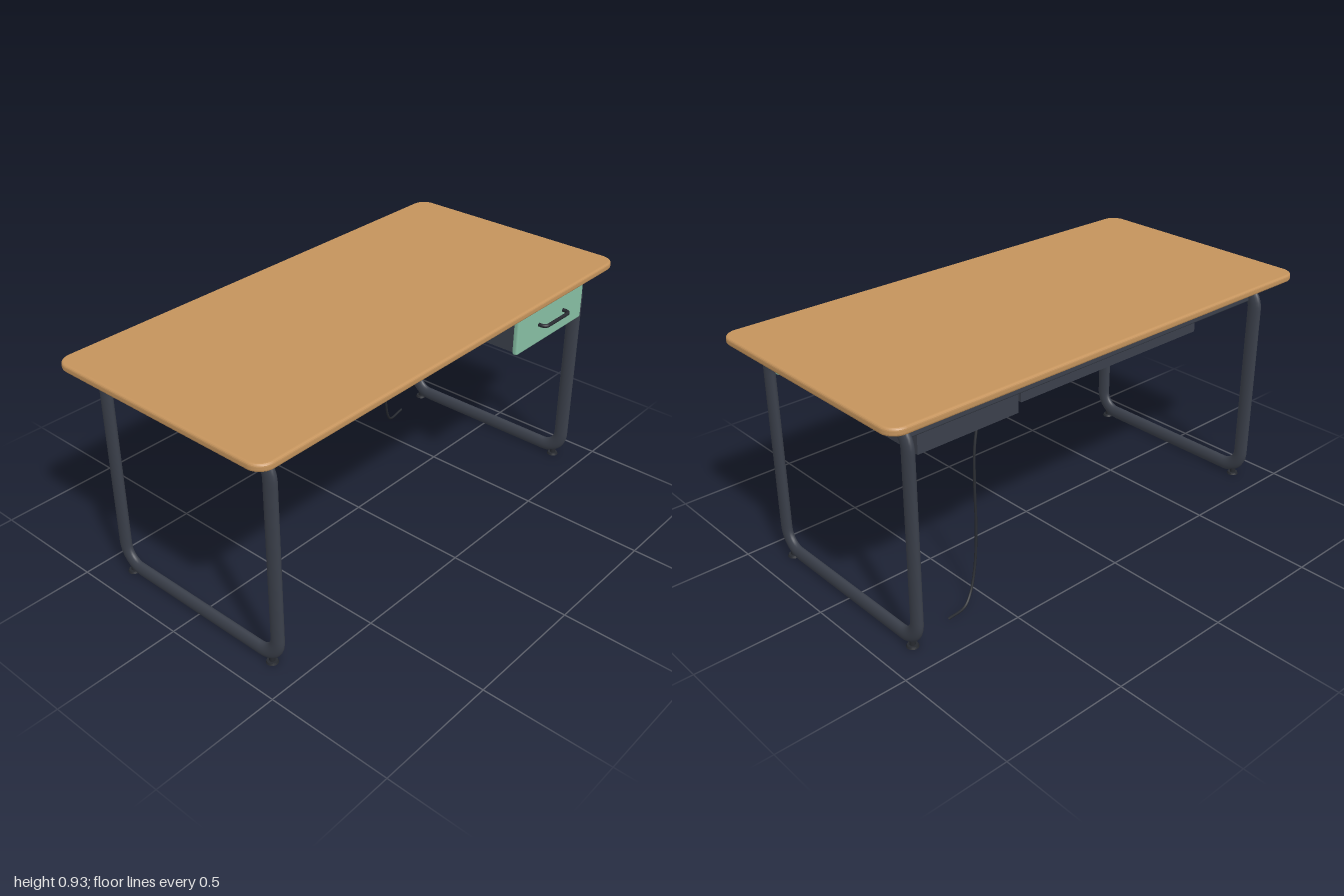
import * as THREE from 'three';
import { RoundedBoxGeometry } from 'three/addons/geometries/RoundedBoxGeometry.js';

const material = (name, color) => {
  const m = new THREE.MeshStandardMaterial({ color });
  m.name = name;
  return m;
};
const v = (x, y, z) => new THREE.Vector3(x, y, z);

// Rounded rectangle in XY, used for the tabletop outline
function roundedRect(w, h, r) {
  const s = new THREE.Shape(), a = w / 2, b = h / 2;
  s.absarc(a - r, b - r, r, 0, Math.PI / 2);
  s.absarc(-a + r, b - r, r, Math.PI / 2, Math.PI);
  s.absarc(-a + r, -b + r, r, Math.PI, Math.PI * 1.5);
  s.absarc(a - r, -b + r, r, Math.PI * 1.5, Math.PI * 2);
  s.closePath();
  return s;
}

// Polyline in 3D whose inner corners are rounded with radius r
function roundedPath(points, r, closed) {
  const path = new THREE.CurvePath(), n = points.length, k = 0.5523;
  let last = closed ? null : points[0];
  const first = closed ? 0 : 1, end = closed ? n : n - 1;
  let start = null;
  for (let i = first; i < end; i++) {
    const p = points[i];
    const toPrev = points[(i + n - 1) % n].clone().sub(p).normalize();
    const toNext = points[(i + 1) % n].clone().sub(p).normalize();
    const a = p.clone().addScaledVector(toPrev, r);
    const b = p.clone().addScaledVector(toNext, r);
    if (last) path.add(new THREE.LineCurve3(last, a));
    else start = a;
    path.add(new THREE.CubicBezierCurve3(a, a.clone().lerp(p, k), b.clone().lerp(p, k), b));
    last = b;
  }
  path.add(new THREE.LineCurve3(last, closed ? start : points[n - 1]));
  return path;
}

export function createModel() {
  const wood = material('wood', 0xc4935c);
  const metal = material('dark metal', 0x3b404b);
  const green = material('drawer green', 0x87bfa4);
  const black = material('black', 0x26292f);
  const model = new THREE.Group();
  model.name = 'desk';

  const add = (parent, name, geometry, mat, x = 0, y = 0, z = 0) => {
    const mesh = new THREE.Mesh(geometry, mat);
    mesh.name = name;
    mesh.position.set(x, y, z);
    parent.add(mesh);
    return mesh;
  };
  // Box given by its limits; r > 0 rounds the edges
  const box = (parent, name, mat, [x0, x1], [y0, y1], [z0, z1], r = 0) => {
    const size = [x1 - x0, y1 - y0, z1 - z0];
    const g = r ? new RoundedBoxGeometry(...size, 3, r) : new THREE.BoxGeometry(...size);
    return add(parent, name, g, mat, (x0 + x1) / 2, (y0 + y1) / 2, (z0 + z1) / 2);
  };

  // Tabletop with softened edge
  const bevel = 0.01;
  const top = new THREE.ExtrudeGeometry(roundedRect(2 - 2 * bevel, 1 - 2 * bevel, 0.05), {
    depth: 0.03 - 2 * bevel, bevelEnabled: true, bevelThickness: bevel,
    bevelSize: bevel, bevelSegments: 4, curveSegments: 10,
  });
  top.rotateX(-Math.PI / 2);
  add(model, 'tabletop', top, wood, 0, 0.895 + bevel, 0);

  // Looped oval-tube legs with rail, mounting plate and feet
  const loop = roundedPath(
    [v(0, 0.034, 0.405), v(0, 0.862, 0.405), v(0, 0.862, -0.405), v(0, 0.034, -0.405)], 0.085, true);
  const legTube = new THREE.TubeGeometry(loop, 200, 0.03, 20, true);
  legTube.scale(0.0175 / 0.03, 1, 1);
  for (const side of [-1, 1]) {
    const leg = new THREE.Group();
    leg.name = side > 0 ? 'leftLegFrame' : 'rightLegFrame';
    leg.position.x = side * 0.873;
    model.add(leg);
    add(leg, 'legLoop', legTube, metal);
    box(leg, 'topRail', metal, [-0.022, 0.022], [0.865, 0.89], [-0.41, 0.41], 0.006);
    box(leg, 'mountingPlate', metal, [-0.022, 0.022], [0.888, 0.896], [-0.32, 0.32]);
    for (const z of [-0.373, 0.373]) {
      add(leg, 'footPad', new THREE.CylinderGeometry(0.02, 0.023, 0.008, 20), black, 0, 0.004, z);
      add(leg, 'footStem', new THREE.CylinderGeometry(0.011, 0.011, 0.02, 16), black, 0, 0.016, z);
    }
  }

  // Rear crossbeam and cable tray
  box(model, 'crossbeam', metal, [-0.865, 0.865], [0.803, 0.892], [-0.385, -0.32], 0.008);
  box(model, 'cableTray', metal, [-0.6, 0.323], [0.73, 0.803], [-0.325, -0.12]);

  // Drawer unit
  const drawer = new THREE.Group();
  drawer.name = 'drawerUnit';
  model.add(drawer);
  box(drawer, 'drawerCabinet', metal, [0.382, 0.815], [0.73, 0.895], [-0.377, 0.442]);
  box(drawer, 'drawerFront', green, [0.375, 0.821], [0.723, 0.888], [0.441, 0.465], 0.009);
  const grip = roundedPath(
    [v(0.515, 0.805, 0.46), v(0.515, 0.805, 0.496), v(0.682, 0.805, 0.496), v(0.682, 0.805, 0.46)], 0.02, false);
  add(drawer, 'drawerHandle', new THREE.TubeGeometry(grip, 50, 0.0075, 12, false), black);

  // Power cable hanging to the floor
  const cable = new THREE.CatmullRomCurve3([
    v(0.31, 0.785, -0.22), v(0.37, 0.795, -0.225), v(0.435, 0.73, -0.245), v(0.485, 0.61, -0.265),
    v(0.506, 0.45, -0.283), v(0.514, 0.28, -0.295), v(0.535, 0.13, -0.307), v(0.57, 0.045, -0.322),
    v(0.61, 0.012, -0.337), v(0.7, 0.012, -0.352),
  ]);
  add(model, 'powerCable', new THREE.TubeGeometry(cable, 80, 0.005, 10, false), black);

  return model;
}
